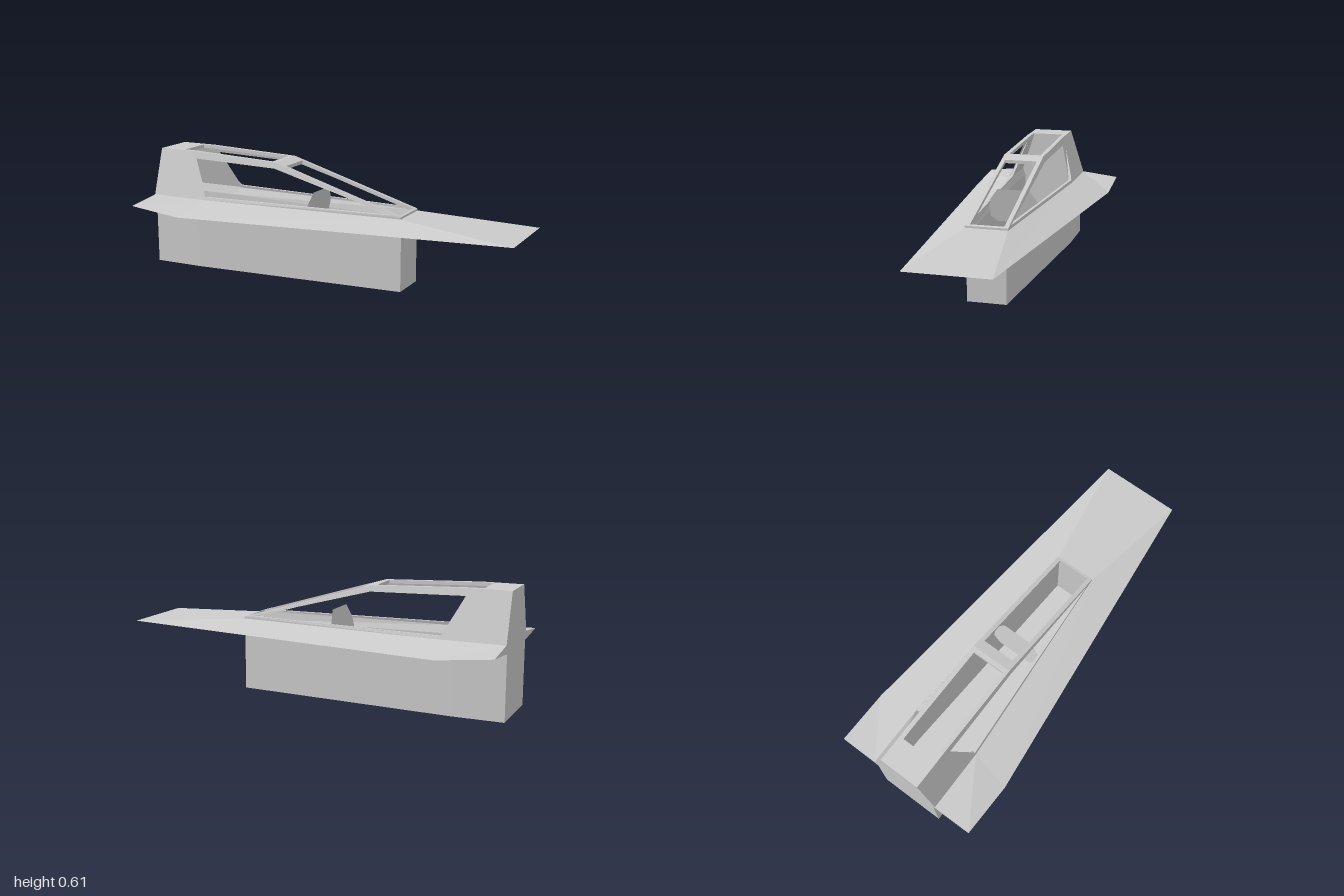
import * as THREE from 'three';

const material = new THREE.MeshStandardMaterial({
  color: 0xcccccc, flatShading: true, side: THREE.DoubleSide,
});

const flip = ([x, y, z]) => [x, y, -z];
// Polygon and its mirror image on the other side
const pair = (...pts) => [pts, pts.map(flip).reverse()];
// Polygon spanning from one side to the other
const across = (p, q) => [[p, q, flip(q), flip(p)]];
// Row of quads joining two equally long lines of points
const strip = (a, b) => a.slice(1).flatMap((_, i) => pair(a[i], a[i + 1], b[i + 1], b[i]));

function panels(name, polygons) {
  const pos = [];
  for (const p of polygons) {
    for (let i = 1; i < p.length - 1; i++) pos.push(...p[0], ...p[i], ...p[i + 1]);
  }
  const geo = new THREE.BufferGeometry();
  geo.setAttribute('position', new THREE.Float32BufferAttribute(pos, 3));
  geo.computeVertexNormals();
  const mesh = new THREE.Mesh(geo, material);
  mesh.name = name;
  return mesh;
}

// Height of the roof line along the cabin
const roofLine = [[-1, 0.61], [-0.8, 0.61], [-0.3, 0.59], [0.4, 0.38]];
function roofY(x) {
  const i = Math.max(1, roofLine.findIndex(([px]) => x <= px));
  const [x0, y0] = roofLine[i - 1], [x1, y1] = roofLine[i];
  return y0 + (y1 - y0) * (x - x0) / (x1 - x0);
}

export function createModel() {
  const group = new THREE.Group();
  group.name = 'wedgeCraft';

  // Lines of points running from the rear to the front on the +z side
  const keel = [[-1, 0, 0.17], [-0.74, 0, 0.17], [0.4, 0, 0.1]];
  const hullTop = keel.map(([x, , z]) => [x, 0.327, z]);
  const rim = [[-1, 0.347, 0.385], [-0.72, 0.317, 0.388], [1, 0.327, 0.207]];
  const coaming = [[-1, 0.37, 0.185], [-0.68, 0.37, 0.185], [0.4, 0.37, 0.107]];

  // Lower hull, an open tub
  group.add(panels('hull', [
    ...strip(keel, hullTop),
    ...across(keel[1], keel[0]), ...across(keel[2], keel[1]),
    ...across(keel[0], hullTop[0]), ...across(hullTop[2], keel[2]),
  ]));

  // Wide wedge deck with a long nose
  group.add(panels('deck', [
    ...strip(rim, coaming), ...across(coaming[2], rim[2]),
    ...strip(hullTop, rim), ...across(rim[2], hullTop[2]),
    ...strip(coaming, hullTop),
    ...pair(hullTop[0], rim[0], coaming[0]),
    ...across(hullTop[0], coaming[0]),
  ]));

  // Cabin sides: solid rear quarter and a window frame on each side
  const roofRear = [-1, 0.61, 0.107], roofKnee = [-0.8, 0.61, 0.107];
  const outer = [coaming[1], [0.4, 0.38, 0.107], [-0.3, 0.59, 0.107], roofKnee, coaming[1]];
  const corners = [[-0.68, 0.385, 0.18], [0.35, 0.385, 0.11], [-0.3, 0.56, 0.115], [-0.86, 0.575, 0.118]];
  const opening = [...corners, corners[0]];
  const inset = opening.map(([x, y, z]) => [x, y, z - 0.015]);
  const inner = outer.map(([x, y, z]) => [x, y, z - 0.015]);
  group.add(panels('cabinSides', [
    ...pair(coaming[0], coaming[1], roofKnee, roofRear),
    ...strip(outer, opening), ...strip(opening, inset), ...strip(inset, inner),
    ...pair(coaming[2], outer[1], coaming[1]),
  ]));
  group.add(panels('cabinRearWall', across(coaming[0], roofRear)));

  // Roof frame: closed bars between the two roof openings, thin rails beside them
  const roof = [];
  const point = (x, z, drop = 0) => [x, roofY(x) - drop, z];
  const t = 0.018, railIn = 0.085, railOut = 0.107;
  const bar = (a, b) => roof.push(
    ...across(point(a, railOut), point(b, railOut)),
    ...across(point(b, railOut, t), point(a, railOut, t)),
    ...across(point(a, railOut, t), point(a, railOut)),
    ...across(point(b, railOut), point(b, railOut, t)));
  const rail = (a, b) => roof.push(
    ...pair(point(a, railOut), point(b, railOut), point(b, railIn), point(a, railIn)),
    ...pair(point(a, railIn, t), point(b, railIn, t), point(b, railOut, t), point(a, railOut, t)),
    ...pair(point(a, railIn), point(b, railIn), point(b, railIn, t), point(a, railIn, t)));
  for (const [a, b] of [[-1, -0.86], [-0.325, -0.3], [-0.3, -0.245], [0.385, 0.4]]) bar(a, b);
  for (const [a, b] of [[-0.86, -0.8], [-0.8, -0.325], [-0.245, 0.385]]) rail(a, b);
  group.add(panels('roofFrame', roof));

  // Thin tilted instrument panel inside the cabin
  const edge = [[0.45, 0.085], [0.38, 0.135], [0.3, 0.135], [0.27, 0.09]]
    .map(([y, z]) => [-0.125 + (y - 0.27) * 0.2, y, z]);
  group.add(panels('instrumentPanel', edge.slice(1).flatMap((p, i) => across(edge[i], p))));

  return group;
}
